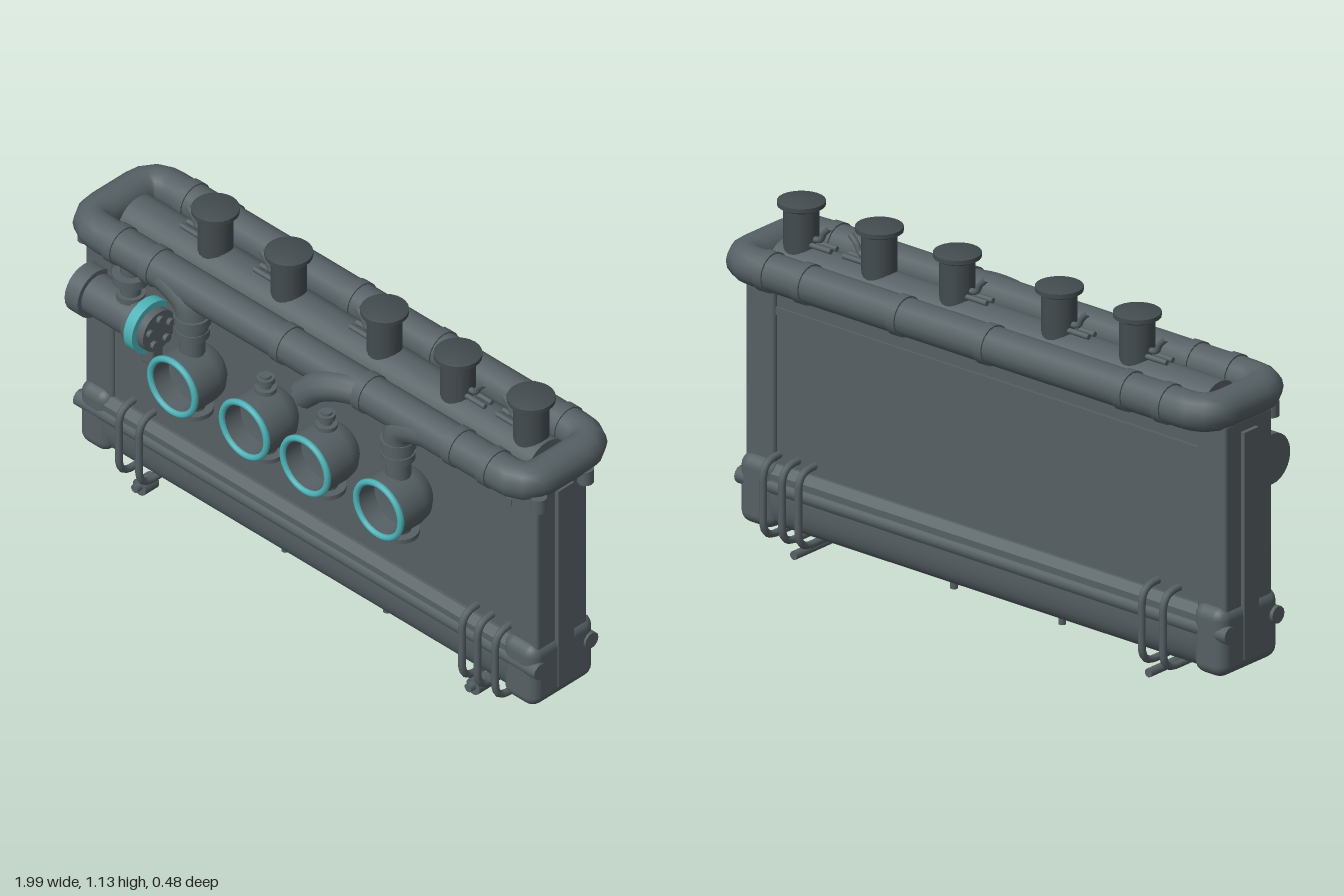
import * as THREE from 'three';
import { toCreasedNormals } from 'three/addons/utils/BufferGeometryUtils.js';
import { RoundedBoxGeometry } from 'three/addons/geometries/RoundedBoxGeometry.js';

const mat = (name, color, extra = {}) => Object.assign(new THREE.MeshStandardMaterial({ color, ...extra }), { name });

export function createModel() {
  const metal = mat('slate metal', 0x566064);
  const inside = mat('slate metal open', 0x566064, { side: THREE.DoubleSide });
  const dark = mat('dark metal', 0x434b4e);
  const teal = mat('teal trim', 0x4cb0b5);
  const root = new THREE.Group();
  root.name = 'pipedTank';

  const add = (name, geo, m = metal, parent = root) => {
    const mesh = new THREE.Mesh(geo, m);
    mesh.name = name;
    parent.add(mesh);
    return mesh;
  };
  // box given by its limits, optionally with rounded edges
  const box = (name, x0, x1, y0, y1, z0, z1, r = 0, m = metal) => {
    const s = [x1 - x0, y1 - y0, z1 - z0];
    const g = r ? new RoundedBoxGeometry(...s, 3, r) : new THREE.BoxGeometry(...s);
    return add(name, g.translate((x0 + x1) / 2, (y0 + y1) / 2, (z0 + z1) / 2), m);
  };
  // cylinder along an axis, centred at a point
  const cyl = (name, axis, r, len, x, y, z, m = metal, sides = 20, parent = root) => {
    const g = new THREE.CylinderGeometry(r, r, len, sides);
    if (axis === 'x') g.rotateZ(-Math.PI / 2);
    if (axis === 'z') g.rotateX(Math.PI / 2);
    return add(name, g.translate(x, y, z), m, parent);
  };
  const v = (p) => new THREE.Vector3(...p);
  const pipe = (name, pts, r, m = metal, parent = root) =>
    add(name, new THREE.TubeGeometry(new THREE.CatmullRomCurve3(pts.map(v)), 24, r, 12), m, parent);
  // closed loop with quarter-bend corners; map places the flat (u, w) outline in space
  const loop = (name, u0, u1, w0, w1, bend, r, map, segs, sides) => {
    const path = new THREE.CurvePath();
    const P = (u, w) => v(map(u, w));
    const c = [[u0, w0], [u1, w0], [u1, w1], [u0, w1]];
    const toward = (a, b) => {
      const d = Math.hypot(b[0] - a[0], b[1] - a[1]);
      return P(a[0] + (b[0] - a[0]) * bend / d, a[1] + (b[1] - a[1]) * bend / d);
    };
    c.forEach((p, i) => {
      const prev = c[(i + 3) % 4], next = c[(i + 1) % 4];
      path.add(new THREE.QuadraticBezierCurve3(toward(p, prev), P(...p), toward(p, next)));
      path.add(new THREE.LineCurve3(toward(p, next), toward(next, p)));
    });
    return add(name, new THREE.TubeGeometry(path, segs, r, sides, true));
  };

  // main panel, its mouldings and end columns
  box('mainPanel', -0.9, 0.87, 0.2, 0.9, -0.125, 0.065);
  for (const z of [0.066, -0.126]) {
    box('panelMoulding', -0.86, 0.82, 0.765, 0.79, z - 0.006, z + 0.006);
  }
  for (const [x0, x1, e] of [[-0.975, -0.86, -1], [0.82, 0.935, 1]]) {
    box('endColumn', x0, x1, 0.2, 0.89, -0.14, 0.078, 0.012);
    const x = e < 0 ? x0 : x1;
    box('endStrip', x - 0.014, x + 0.014, 0.11, 0.85, -0.068, 0);
    for (const z of [0.1, -0.1]) cyl('endPeg', 'y', 0.026, 0.05, e < 0 ? -0.95 : 0.965, 0.87, z, metal, 12);
  }

  // lower tank: rounded profile swept along x
  const profile = new THREE.Shape();
  profile.moveTo(-0.075, 0.28);
  profile.lineTo(-0.098, 0.255);
  profile.lineTo(-0.098, 0.18);
  profile.quadraticCurveTo(-0.095, 0.07, -0.03, 0.066);
  profile.lineTo(0.09, 0.066);
  profile.quadraticCurveTo(0.155, 0.07, 0.158, 0.18);
  profile.lineTo(0.158, 0.255);
  profile.lineTo(0.135, 0.28);
  const sweep = new THREE.ExtrudeGeometry(profile, { depth: 1.72, bevelEnabled: false, curveSegments: 8 });
  sweep.rotateY(Math.PI / 2).translate(-0.88, 0, 0);
  add('lowerTank', toCreasedNormals(sweep, 0.6));
  box('lowerTankCap', -0.985, -0.86, 0.068, 0.295, -0.168, 0.105, 0.04);
  box('lowerTankCap', 0.805, 0.945, 0.068, 0.295, -0.168, 0.105, 0.04);
  for (const z of [0.08, -0.14]) cyl('sideRail', 'x', 0.028, 1.95, -0.022, 0.213, z, metal, 12);

  // strap loops, clamp bars and feet
  for (const x of [-0.78, -0.695, 0.67, 0.735, 0.81]) {
    loop('strap', -0.2, 0.13, 0.06, 0.31, 0.06, 0.012, (u, w) => [x, w, u], 60, 8);
  }
  for (const x of [-0.72, 0.69]) {
    cyl('clampBar', 'z', 0.014, 0.325, x, 0.036, -0.037, metal, 10);
    cyl('clampKnob', 'z', 0.028, 0.058, x, 0.03, 0.075, metal, 14);
  }
  for (const x of [-0.215, 0.215]) cyl('footPin', 'y', 0.012, 0.08, x, 0.04, -0.01, metal, 10);

  // upper pipe loop with collars
  loop('upperPipe', -0.94, 0.932, -0.183, 0.122, 0.08, 0.06, (u, w) => [u, 0.929, w], 120, 16);
  for (const x of [-0.783, -0.63, -0.078, 0.268, 0.65, 0.797]) {
    for (const z of [0.122, -0.183]) cyl('pipeCollar', 'x', 0.065, 0.034, x, 0.929, z);
  }
  // header between the pipes
  const header = new THREE.CylinderGeometry(0.085, 0.085, 1.73, 24).rotateZ(-Math.PI / 2);
  add('topHeader', header.translate(0, 0.89, -0.035));

  // filler necks with caps and small overflow hooks
  for (const [x, side, reach] of [[-0.535, -1, 0.1], [-0.225, -1, 0.1], [0.18, -1, 0.1], [0.49, 1, 0.1], [0.8, -1, 0.1]]) {
    const g = new THREE.Group();
    g.name = 'filler';
    g.position.set(x, 0, -0.035);
    root.add(g);
    cyl('fillerNeck', 'y', 0.055, 0.16, 0, 1.02, 0, dark, 20, g);
    const cap = [[0, 1.092], [0.06, 1.092], [0.074, 1.1], [0.074, 1.114], [0.05, 1.122], [0, 1.126]];
    add('fillerCap', toCreasedNormals(new THREE.LatheGeometry(cap.map((p) => new THREE.Vector2(...p)), 24), 0.6), dark, g);
    pipe('overflowHook', [[side * 0.04, 1.0, 0], [side * 0.075, 1.005, 0], [side * 0.09, 1.03, 0],
      [side * (reach + 0.015), 1.055, 0]], 0.01, metal, g);
    for (const z of [0.014, -0.014]) cyl('hookBracket', 'x', 0.009, 0.1, side * 0.08, 0.985, z, metal, 8, g);
  }

  // round gauges on the front: hollow cups with teal rims
  const cupProfile = [[0, 0.06], [0.07, 0.06], [0.094, 0.09], [0.1, 0.12], [0.1, 0.226], [0.084, 0.226], [0.08, 0.16], [0, 0.145]];
  const gauges = [[-0.46, true], [-0.157, false], [0.1, false], [0.41, true]];
  for (const [x, piped] of gauges) {
    const g = new THREE.Group();
    g.name = 'gauge';
    g.position.set(x, 0.615, 0);
    root.add(g);
    const cup = new THREE.LatheGeometry(cupProfile.map((p) => new THREE.Vector2(...p)), 32).rotateX(Math.PI / 2);
    add('gaugeCup', toCreasedNormals(cup, 0.6), inside, g);
    const rim = new THREE.TorusGeometry(0.094, 0.011, 8, 32);
    add('gaugeRim', rim.translate(0, 0, 0.224), teal, g);
    cyl('gaugeStem', 'y', 0.035, 0.04, 0, -0.108, 0.133, metal, 16, g);
    cyl('gaugeFoot', 'y', 0.06, 0.016, 0, -0.127, 0.133, metal, 24, g);
    if (piped) {
      cyl('neckLower', 'y', 0.04, 0.08, 0, 0.125, 0.14, metal, 18, g);
      cyl('neckFlange', 'y', 0.053, 0.025, 0, 0.168, 0.14, metal, 20, g);
      cyl('elbowCollar', 'y', 0.056, 0.03, 0, 0.215, 0.14, metal, 20, g);
    } else {
      cyl('valveStem', 'y', 0.018, 0.07, 0, 0.125, 0.133, metal, 12, g);
      cyl('valveFlange', 'y', 0.034, 0.014, 0, 0.108, 0.133, metal, 16, g);
      cyl('valveKnob', 'y', 0.028, 0.018, 0, 0.142, 0.133, metal, 16, g);
    }
  }

  // elbows from the upper pipe
  const elbow = (x, dir) => pipe('elbow', [[x + dir * 0.2, 0.928, 0.125], [x + dir * 0.1, 0.922, 0.135],
    [x + dir * 0.02, 0.89, 0.14], [x, 0.83, 0.14], [x, 0.77, 0.14]], 0.05);
  elbow(-0.46, -1);
  elbow(0.41, 1);
  pipe('openElbow', [[0.3, 0.93, 0.122], [0.2, 0.93, 0.155], [0.12, 0.905, 0.18], [0.06, 0.85, 0.19]], 0.048, inside);
  add('openElbowPlug', new THREE.SphereGeometry(0.046, 12, 8).translate(0.067, 0.858, 0.188));

  // sideways valve at the upper corner
  const vy = 0.69, vz = 0.125;
  cyl('valveEnd', 'x', 0.082, 0.055, -0.907, vy, vz, metal, 24);
  cyl('valveBarrel', 'x', 0.066, 0.21, -0.78, vy, vz, metal, 24);
  cyl('valveCollar', 'x', 0.078, 0.025, -0.69, vy, vz, metal, 24);
  cyl('valveRing', 'x', 0.09, 0.036, -0.66, vy, vz, teal, 28);
  cyl('valveFace', 'x', 0.07, 0.03, -0.63, vy, vz, metal, 24);
  for (let i = 0; i < 5; i++) {
    const a = i * Math.PI * 0.4;
    cyl('valveBolt', 'x', 0.014, 0.02, -0.612, vy + 0.045 * Math.cos(a), vz + 0.045 * Math.sin(a), metal, 8);
  }
  box('valveLever', -0.67, -0.62, 0.56, 0.63, vz - 0.025, vz + 0.025, 0.01);
  cyl('valvePipe', 'y', 0.032, 0.18, -0.735, 0.82, vz, metal, 16);
  cyl('valvePipeFlange', 'y', 0.058, 0.03, -0.735, 0.835, vz, metal, 20);
  cyl('valvePipeFoot', 'y', 0.045, 0.02, -0.735, 0.765, vz, metal, 20);

  return root;
}
